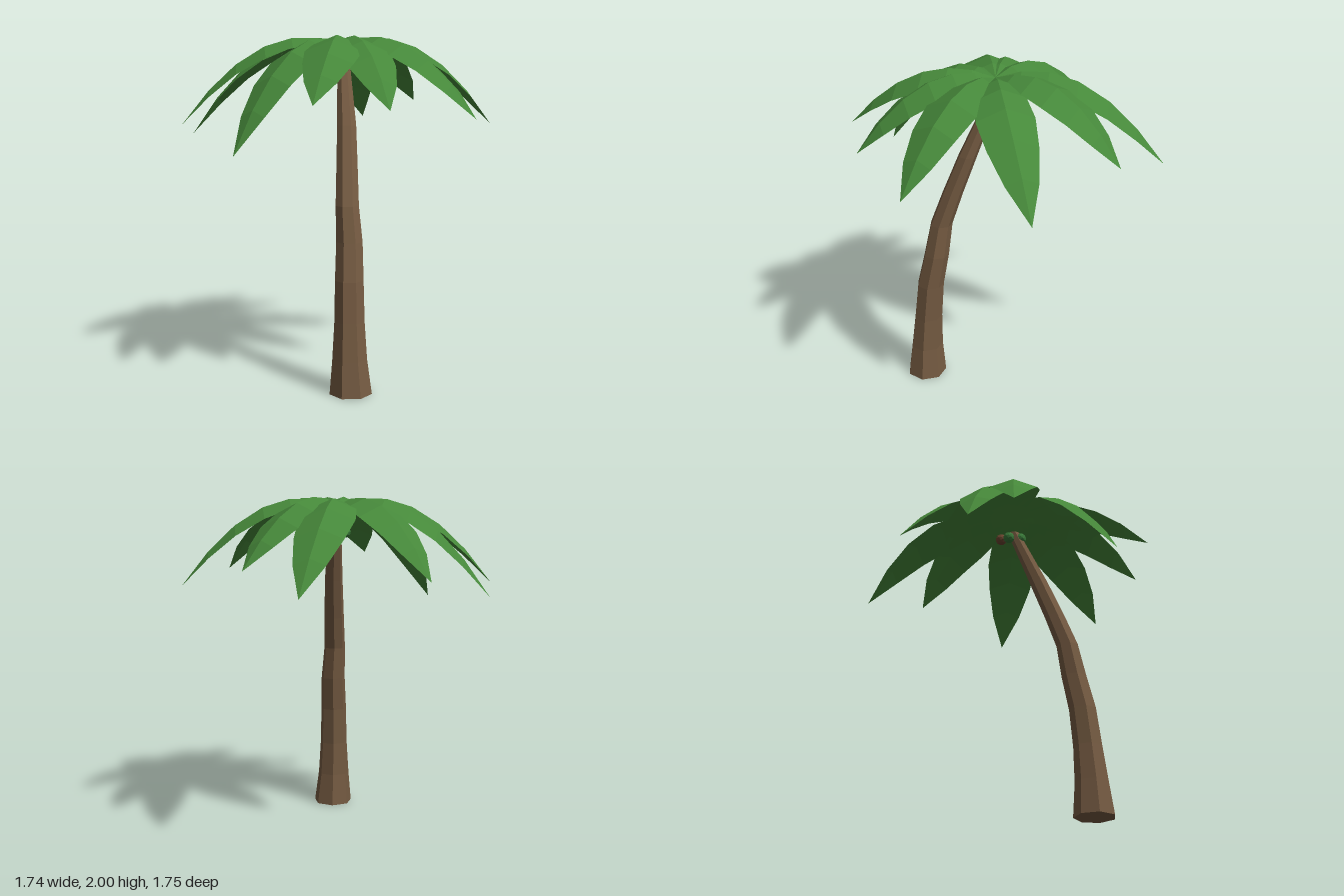
import * as THREE from 'three';

const leafGreen = new THREE.MeshStandardMaterial({ color: 0x46883a, flatShading: true, side: THREE.DoubleSide });
leafGreen.name = 'leaf green';
const barkBrown = new THREE.MeshStandardMaterial({ color: 0x755b42, flatShading: true });
barkBrown.name = 'bark brown';
const nutBrown = new THREE.MeshStandardMaterial({ color: 0x6b4630, flatShading: true });
nutBrown.name = 'nut brown';
const nutGreen = new THREE.MeshStandardMaterial({ color: 0x3a7a3a, flatShading: true });
nutGreen.name = 'nut green';

// Trunk rings from the ground up: [x, y, z, radius]
const RINGS = [
  [0.235, 0, 0.437, 0.122], [0.227, 0.2, 0.433, 0.1], [0.22, 0.41, 0.42, 0.087],
  [0.21, 0.64, 0.4, 0.082], [0.193, 0.85, 0.36, 0.076], [0.168, 1.05, 0.333, 0.067],
  [0.138, 1.25, 0.268, 0.062], [0.098, 1.49, 0.183, 0.056], [0.02, 1.85, 0.05, 0.037],
];

function makeTrunk() {
  const segs = RINGS.length - 1;
  const geo = new THREE.CylinderGeometry(1, 1, segs, 7, segs);
  const p = geo.attributes.position;
  for (let i = 0; i < p.count; i++) {
    const [x, y, z, r] = RINGS[Math.round(p.getY(i) + segs / 2)];
    p.setXYZ(i, x + p.getX(i) * r, y, z + p.getZ(i) * r);
  }
  geo.computeVertexNormals();
  const mesh = new THREE.Mesh(geo, barkBrown);
  mesh.name = 'trunk';
  return mesh;
}

// Each leaf: tip x, y, z and the sideways bow of its midrib
const LEAVES = [
  [-0.25, 1.48, -0.88, -0.035], [0.165, 1.6, -0.75, -0.02],
  [0.755, 1.48, -0.48, 0.035], [0.87, 1.54, 0.2, 0],
  [0.545, 1.6, 0.645, 0], [0.215, 1.63, 0.87, -0.03],
  [-0.25, 1.355, 0.87, 0], [-0.79, 1.49, 0.52, 0],
  [-0.87, 1.42, 0.28, 0.015], [-0.73, 1.54, -0.285, 0],
];
const CROWN = new THREE.Vector3(0, 1.945, 0.05);
const STATIONS = [0, 0.15, 0.31, 0.48, 0.66, 0.83, 1];
const HALF_WIDTHS = [0.008, 0.085, 0.14, 0.16, 0.138, 0.09, 0];

// Arching leaf folded along its midrib, three points per cross-section
function makeLeaf([tx, ty, tz, bow]) {
  const dx = tx - CROWN.x, dz = tz - CROWN.z, len = Math.hypot(dx, dz);
  const nx = -dz / len, nz = dx / len;
  const rise = 0.38, fall = rise + CROWN.y - ty;
  const pos = [], index = [];
  STATIONS.forEach((t, i) => {
    const y = CROWN.y + rise * t - fall * t * t;
    for (const side of [-1, 0, 1]) {
      const w = HALF_WIDTHS[i] * side, s = w + bow * Math.sin(Math.PI * t);
      pos.push(CROWN.x + dx * t + nx * s, y - Math.abs(w) * 0.4, CROWN.z + dz * t + nz * s);
    }
    if (i === 0) return;
    for (const k of [0, 1]) {
      const a = (i - 1) * 3 + k, b = a + 1, c = a + 3, d = a + 4;
      // the last section narrows to a single point
      if (i === STATIONS.length - 1) index.push(a, b, c);
      else index.push(a, b, d, a, d, c);
    }
  });
  const geo = new THREE.BufferGeometry();
  geo.setAttribute('position', new THREE.Float32BufferAttribute(pos, 3));
  // n points to the right of travel, so flip to keep the upper face in front
  for (let i = 0; i < index.length; i += 3) [index[i], index[i + 1]] = [index[i + 1], index[i]];
  geo.setIndex(index);
  geo.computeVertexNormals();
  if (geo.attributes.normal.getY(10) < 0) {
    index.reverse();
    geo.setIndex(index);
    geo.computeVertexNormals();
  }
  const mesh = new THREE.Mesh(geo, leafGreen);
  mesh.name = 'leaf';
  return mesh;
}

function makeNut(x, y, z, material) {
  const mesh = new THREE.Mesh(new THREE.IcosahedronGeometry(0.035, 1), material);
  mesh.position.set(x, y, z);
  mesh.name = 'nut';
  return mesh;
}

export function createModel() {
  const model = new THREE.Group();
  model.name = 'palmTree';
  model.add(makeTrunk());

  const crown = new THREE.Group();
  crown.name = 'leafCrown';
  for (const leaf of LEAVES) crown.add(makeLeaf(leaf));
  model.add(crown);

  const nuts = new THREE.Group();
  nuts.name = 'nuts';
  nuts.add(makeNut(-0.02, 1.81, -0.02, nutBrown));
  nuts.add(makeNut(-0.045, 1.79, 0.05, nutGreen));
  nuts.add(makeNut(0.035, 1.81, 0.09, nutGreen));
  model.add(nuts);
  return model;
}
